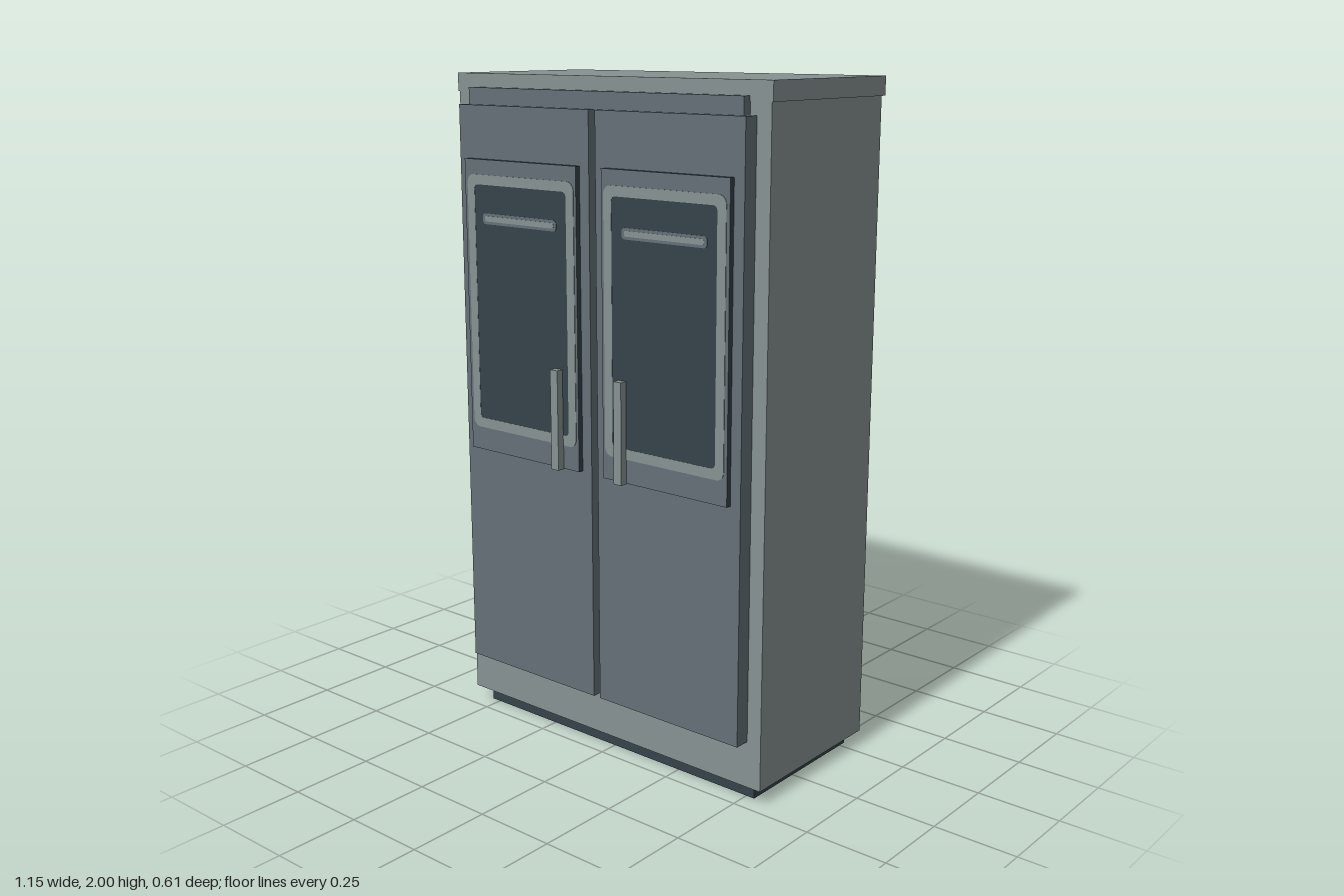
import * as THREE from 'three';

const mat = (name, color) => Object.assign(new THREE.MeshStandardMaterial({ color }), { name });

export function createModel() {
  const light = mat('light grey', 0x879292);
  const slate = mat('slate grey', 0x647077);
  const dark = mat('dark glass', 0x36424a);
  const root = new THREE.Group();
  root.name = 'cabinet';

  const add = (parent, name, geometry, material) => {
    const mesh = new THREE.Mesh(geometry, material);
    mesh.name = name;
    parent.add(mesh);
    return mesh;
  };
  // Box given by its min and max on each axis
  const box = (parent, name, material, [x0, x1], [y0, y1], [z0, z1]) => {
    const mesh = add(parent, name, new THREE.BoxGeometry(x1 - x0, y1 - y0, z1 - z0), material);
    mesh.position.set((x0 + x1) / 2, (y0 + y1) / 2, (z0 + z1) / 2);
    return mesh;
  };
  // Rounded rectangle outline
  const rounded = (Type, x0, x1, y0, y1, r) => {
    const p = new Type();
    p.absarc(x1 - r, y1 - r, r, 0, Math.PI / 2);
    p.absarc(x0 + r, y1 - r, r, Math.PI / 2, Math.PI);
    p.absarc(x0 + r, y0 + r, r, Math.PI, Math.PI * 1.5);
    p.absarc(x1 - r, y0 + r, r, Math.PI * 1.5, Math.PI * 2);
    p.closePath();
    return p;
  };
  // Thin painted plate lying on the plane z
  const plate = (parent, name, material, shape, z) => {
    const geometry = new THREE.ExtrudeGeometry(shape, { depth: 0.0015, bevelEnabled: false, curveSegments: 5 });
    add(parent, name, geometry, material).position.z = z;
  };

  // Carcass
  box(root, 'plinth', dark, [-0.53, 0.527], [0, 0.046], [-0.275, 0.19]);
  box(root, 'body', light, [-0.572, 0.568], [0.046, 1.946], [-0.295, 0.22]);
  box(root, 'topCap', light, [-0.576, 0.573], [1.946, 2], [-0.306, 0.222]);
  box(root, 'header', slate, [-0.505, 0.5], [1.91, 1.96], [0.215, 0.247]);

  // Mirrored pair of doors, laid out from the centre line outwards
  for (const side of [-1, 1]) {
    const door = new THREE.Group();
    door.name = side < 0 ? 'rightDoor' : 'leftDoor';
    door.position.x = -0.0025;
    root.add(door);
    const span = (a, b) => (side > 0 ? [a, b] : [-b, -a]);

    box(door, 'doorPanel', slate, span(0.012, 0.524), [0.185, 1.911], [0.215, 0.267]);
    box(door, 'windowPanel', [dark, dark, dark, dark, slate, dark],
      span(0.047, 0.49), [0.88, 1.757], [0.262, 0.283]);

    // Window trim, glass and slot
    const trim = rounded(THREE.Shape, ...span(0.056, 0.479), 0.95, 1.713, 0.025);
    const glass = [...span(0.085, 0.45), 0.98, 1.684, 0.014];
    trim.holes.push(rounded(THREE.Path, ...glass));
    plate(door, 'windowTrim', light, trim, 0.283);
    plate(door, 'windowGlass', dark, rounded(THREE.Shape, ...glass), 0.2825);
    plate(door, 'slot', slate, rounded(THREE.Shape, ...span(0.122, 0.418), 1.57, 1.602, 0.012), 0.2835);
    plate(door, 'slotHighlight', light, rounded(THREE.Shape, ...span(0.132, 0.408), 1.578, 1.594, 0.006), 0.2845);

    box(door, 'handle', light, span(0.107, 0.135), [0.878, 1.175], [0.28, 0.306]);
  }
  return root;
}
